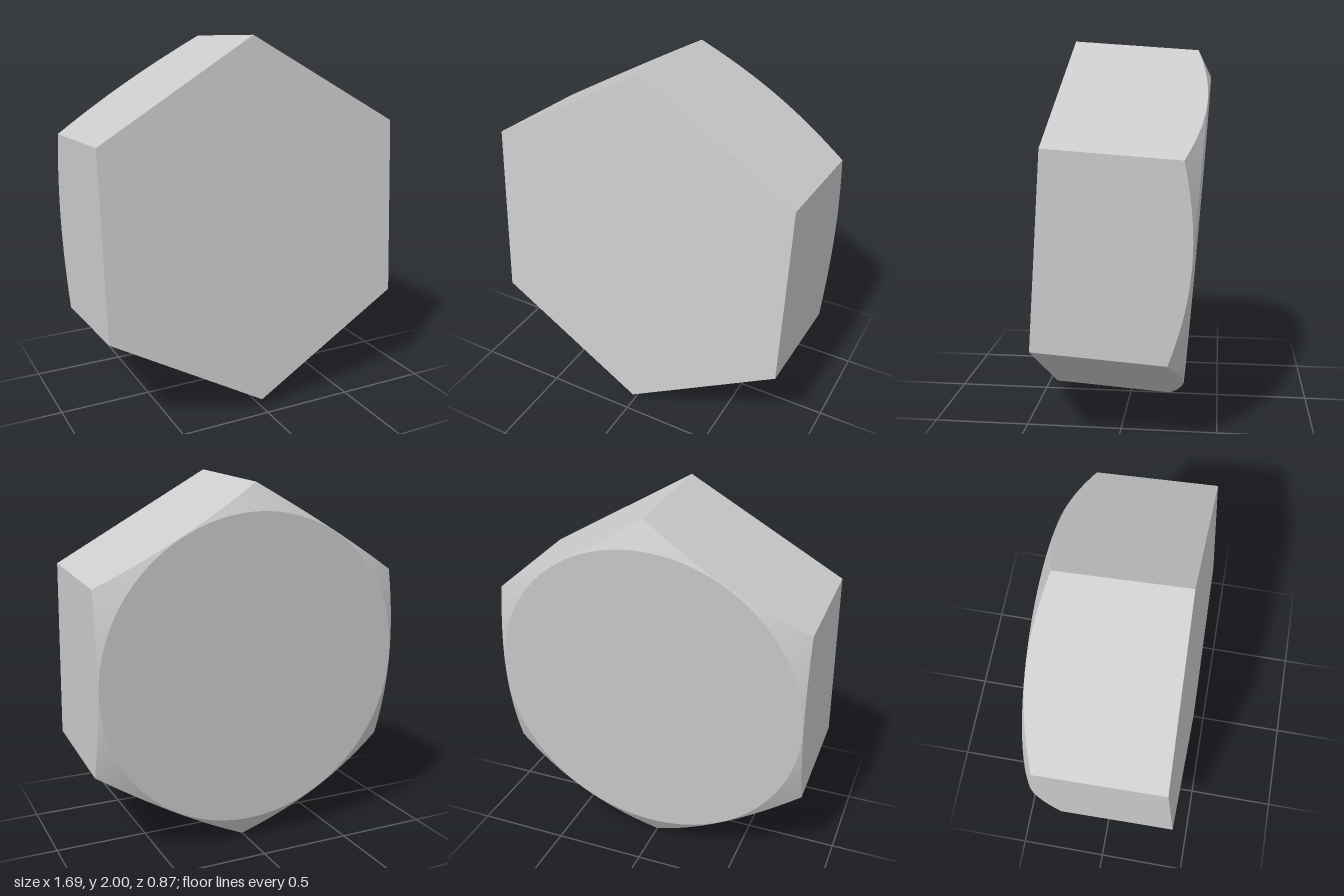
import * as THREE from 'three';
import { toCreasedNormals } from 'three/addons/utils/BufferGeometryUtils.js';

const APOTHEM = 0.846;   // centre to flat side
const DEPTH = 0.74;      // front face to back face
const RIM = 0.842;       // radius of the round back face
const SLOPE = Math.tan(Math.PI / 6); // conical chamfer
const STEPS = 16;        // segments per hexagon side
const COUNT = STEPS * 6;

// Cross-sections from front centre to back centre at one angle
function section(i) {
  const angle = Math.PI / 2 + (i / COUNT) * Math.PI * 2;
  const offset = ((i % STEPS) / STEPS - 0.5) * (Math.PI / 3);
  const hex = APOTHEM / Math.cos(offset);
  const front = DEPTH / 2, back = -DEPTH / 2;
  return [
    [0, front],                            // front centre
    [hex, front],                          // front hexagon
    [hex, back + (hex - RIM) * SLOPE],     // scalloped edge where the cone cuts the sides
    [RIM, back],                           // round back rim
    [0, back],                             // back centre
  ].map(([r, z]) => [r * Math.cos(angle), r * Math.sin(angle), z]);
}

function hexHeadGeometry() {
  const positions = [];
  for (let i = 0; i < COUNT; i++) {
    const p = section(i), q = section((i + 1) % COUNT);
    for (let k = 0; k < 4; k++) {
      if (k < 3) positions.push(...p[k], ...p[k + 1], ...q[k + 1]);
      if (k > 0) positions.push(...p[k], ...q[k + 1], ...q[k]);
    }
  }
  const geometry = new THREE.BufferGeometry();
  geometry.setAttribute('position', new THREE.Float32BufferAttribute(positions, 3));
  return toCreasedNormals(geometry, 0.3);
}

export function createModel() {
  const group = new THREE.Group();
  group.name = 'chamferedHexHead';

  // Hexagonal head, leaning back slightly
  const head = new THREE.Mesh(
    hexHeadGeometry(),
    new THREE.MeshStandardMaterial({ color: 0xcccccc })
  );
  head.name = 'hexHead';
  head.rotation.x = THREE.MathUtils.degToRad(-4);
  head.position.set(0, 1, -0.003);
  group.add(head);
  return group;
}
